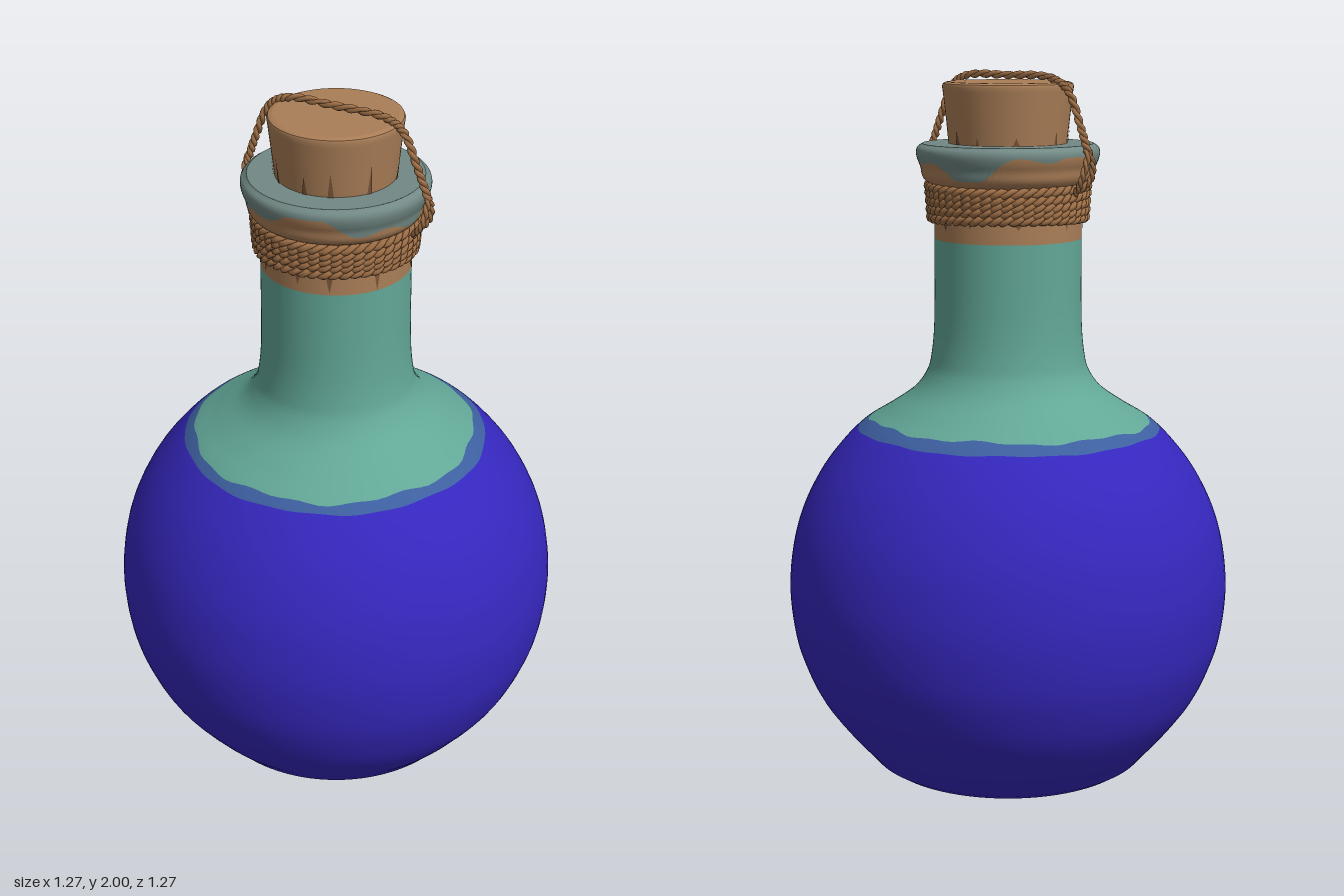
import * as THREE from 'three';

const mat = (name, color, side = THREE.FrontSide) => {
  const m = new THREE.MeshStandardMaterial({ color, side });
  m.name = name;
  return m;
};

// Radius as a function of height, from a few [y, r] points
function profile(points) {
  const pts = new THREE.SplineCurve(points.map(p => new THREE.Vector2(...p))).getPoints(400);
  return y => {
    if (y <= pts[0].x) return pts[0].y;
    for (let i = 1; i < pts.length; i++) {
      if (pts[i].x >= y) {
        const a = pts[i - 1], b = pts[i];
        return a.y + (b.y - a.y) * (y - a.x) / Math.max(1e-6, b.x - a.x);
      }
    }
    return pts[pts.length - 1].y;
  };
}

// Part of a turned surface between two heights that may vary with the angle
function band(r, lo, hi, rows, cols = 96, from = 0, to = Math.PI * 2) {
  const pos = [], nor = [], idx = [];
  const n = new THREE.Vector3(), e = 0.004;
  for (let j = 0; j <= rows; j++) {
    for (let i = 0; i <= cols; i++) {
      const a = from + (to - from) * i / cols;
      const y = lo(a) + (hi(a) - lo(a)) * j / rows;
      const s = Math.sin(a), c = Math.cos(a);
      pos.push(r(y) * s, y, r(y) * c);
      n.set(s, -(r(y + e) - r(y - e)) / (2 * e), c).normalize();
      nor.push(n.x, n.y, n.z);
      if (i < cols && j < rows) {
        const k = j * (cols + 1) + i, u = k + cols + 1;
        idx.push(k, k + 1, u + 1, k, u + 1, u);
      }
    }
  }
  const g = new THREE.BufferGeometry();
  g.setAttribute('position', new THREE.Float32BufferAttribute(pos, 3));
  g.setAttribute('normal', new THREE.Float32BufferAttribute(nor, 3));
  g.setIndex(idx);
  return g;
}

// One strand that winds around a guide path
class Strand extends THREE.Curve {
  constructor(path, side, turns, phase, offset) {
    super();
    Object.assign(this, { path, side, turns, phase, offset, arcLengthDivisions: 600 });
  }
  getPoint(t, target = new THREE.Vector3()) {
    const a = this.phase + t * this.turns * Math.PI * 2;
    const out = this.path.getTangent(t).cross(this.side).normalize();
    return target.copy(this.path.getPoint(t))
      .addScaledVector(out, Math.cos(a) * this.offset)
      .addScaledVector(this.side, Math.sin(a) * this.offset);
  }
}

export function createModel() {
  const model = new THREE.Group();
  model.name = 'potionBottle';
  const glass = mat('green glass', 0x62a797);
  const liquid = mat('blue liquid', 0x3527bd);
  const edge = mat('liquid edge blue', 0x3d5f9f);
  const rimGrey = mat('rim grey', 0x728985);
  const cork = mat('cork brown', 0xaa7e57);
  const rope = mat('rope brown', 0xa07047);
  const dark = mat('dark brown', 0x7a5538, THREE.DoubleSide);
  const add = (name, geometry, material, parent = model) => {
    const m = new THREE.Mesh(geometry, material);
    m.name = name;
    parent.add(m);
    return m;
  };
  const at = y => () => y;
  const lathe = pts => new THREE.LatheGeometry(pts.map(p => new THREE.Vector2(...p)), 64);

  // Round flask with a straight neck
  const flask = profile([
    [0, 0.37], [0.012, 0.392], [0.05, 0.425], [0.1, 0.47], [0.2, 0.545], [0.3, 0.593], [0.4, 0.622],
    [0.53, 0.634], [0.65, 0.622], [0.75, 0.595], [0.85, 0.547], [0.93, 0.49], [1, 0.422],
    [1.05, 0.343], [1.1, 0.272], [1.15, 0.234], [1.2, 0.219], [1.3, 0.21], [1.5, 0.208], [1.72, 0.208]]);
  const wobble = a => 0.003 * Math.sin(7 * a) + 0.002 * Math.sin(17 * a + 1);
  const liquidTop = a => 0.991 - 0.004 * Math.cos(a) + 0.5 * wobble(a);
  const edgeTop = a => 1.015 - 0.008 * Math.cos(a) + wobble(a + 2);
  add('liquidBody', band(flask, at(0), liquidTop, 56), liquid);
  add('liquidEdge', band(flask, liquidTop, edgeTop, 3), edge);
  add('glassNeck', band(flask, edgeTop, at(1.535), 40), glass);
  add('neckStain', band(flask, at(1.535), at(1.71), 4), cork);
  const base = add('base', new THREE.CircleGeometry(0.37, 96), liquid);
  base.rotation.x = Math.PI / 2;

  // Lip with a ragged grey upper coat
  const lip = profile([[1.685, 0.208], [1.693, 0.228], [1.71, 0.241], [1.735, 0.246],
    [1.755, 0.254], [1.775, 0.258], [1.79, 0.254], [1.8, 0.24]]);
  const coat = a => THREE.MathUtils.clamp(
    1.745 + 0.035 * Math.sin(3 * a + 1.2) + 0.02 * Math.sin(7 * a), 1.708, 1.772);
  add('lipLower', band(lip, at(1.685), coat, 10), cork);
  add('lipUpper', band(lip, coat, at(1.8), 12), rimGrey);
  add('lipTop', lathe([[0.24, 1.8], [0.15, 1.8]]), rimGrey);

  // Tapered stopper
  add('stopperSide', lathe([[0.162, 1.77], [0.182, 1.945], [0.184, 1.958], [0.181, 1.965]]), cork);
  add('stopperTop', lathe([[0.181, 1.965], [0.172, 1.969], [0.165, 1.97], [0, 1.97]]), cork);

  // Pointed dark streaks on the stopper and below the wrapping
  const stopper = y => 0.1645 + (y - 1.77) * 0.115;
  const neck = y => flask(y) + 0.002;
  for (let i = 0; i < 11; i++) {
    const a = i * 0.571 + 0.15 * Math.sin(i * 5), w = 0.05 + 0.02 * Math.sin(i * 3);
    const h = 0.055 + 0.03 * Math.sin(i * 7);
    const taper = t => Math.max(0, 1 - Math.abs(t - a) / w);
    add('stopperStreak', band(stopper, at(1.795), t => 1.796 + h * taper(t), 2, 6, a - w, a + w), dark);
    add('neckStreak', band(neck, t => 1.594 - 0.7 * h * taper(t), at(1.596), 2, 6, a - w, a + w), dark);
  }

  // Twisted cord wound around the neck
  const cord = (name, path, side, turns, offset, radius, segments, closed, parent) => {
    for (let k = 0; k < 2; k++) {
      const strand = new Strand(path, side, turns, k * Math.PI, offset);
      add(name, new THREE.TubeGeometry(strand, segments, radius, 6, closed), rope, parent);
    }
  };
  const wrap = new THREE.Group();
  wrap.name = 'neckWrapping';
  model.add(wrap);
  for (let row = 0; row < 5; row++) {
    const ring = [];
    for (let i = 0; i < 24; i++) {
      const a = i / 24 * Math.PI * 2, r = 0.216 + row * 0.0015;
      ring.push(new THREE.Vector3(r * Math.sin(a),
        1.599 + row * 0.02 + 0.004 * Math.sin(2 * a + row), r * Math.cos(a)));
    }
    cord('wrapCord', new THREE.CatmullRomCurve3(ring, true), new THREE.Vector3(0, 1, 0),
      24, 0.007, 0.009, 240, true, wrap);
  }

  // Cord handle over the stopper, with a small loop at each end
  const handle = new THREE.Group();
  handle.name = 'cordHandle';
  model.add(handle);
  const path = pts => new THREE.CatmullRomCurve3(pts.map(p => new THREE.Vector3(...p)));
  const zAxis = new THREE.Vector3(0, 0, 1);
  cord('handleCord', path([[-0.277, 1.775, 0], [-0.25, 1.85, 0], [-0.205, 1.95, 0], [-0.15, 1.982, 0],
    [0, 1.987, 0], [0.15, 1.983, 0], [0.2, 1.955, 0], [0.245, 1.86, 0], [0.278, 1.78, 0]]),
  zAxis, 16, 0.005, 0.007, 240, false, handle);
  for (const x of [-1, 1]) {
    for (const z of [-1, 1]) {
      cord('handleLoop', path([[x * 0.277, 1.79, 0], [x * 0.279, 1.755, z * 0.014],
        [x * 0.272, 1.715, z * 0.022], [x * 0.255, 1.69, z * 0.014], [x * 0.232, 1.67, 0]]),
      zAxis, 3, 0.004, 0.006, 48, false, handle);
    }
  }
  return model;
}
